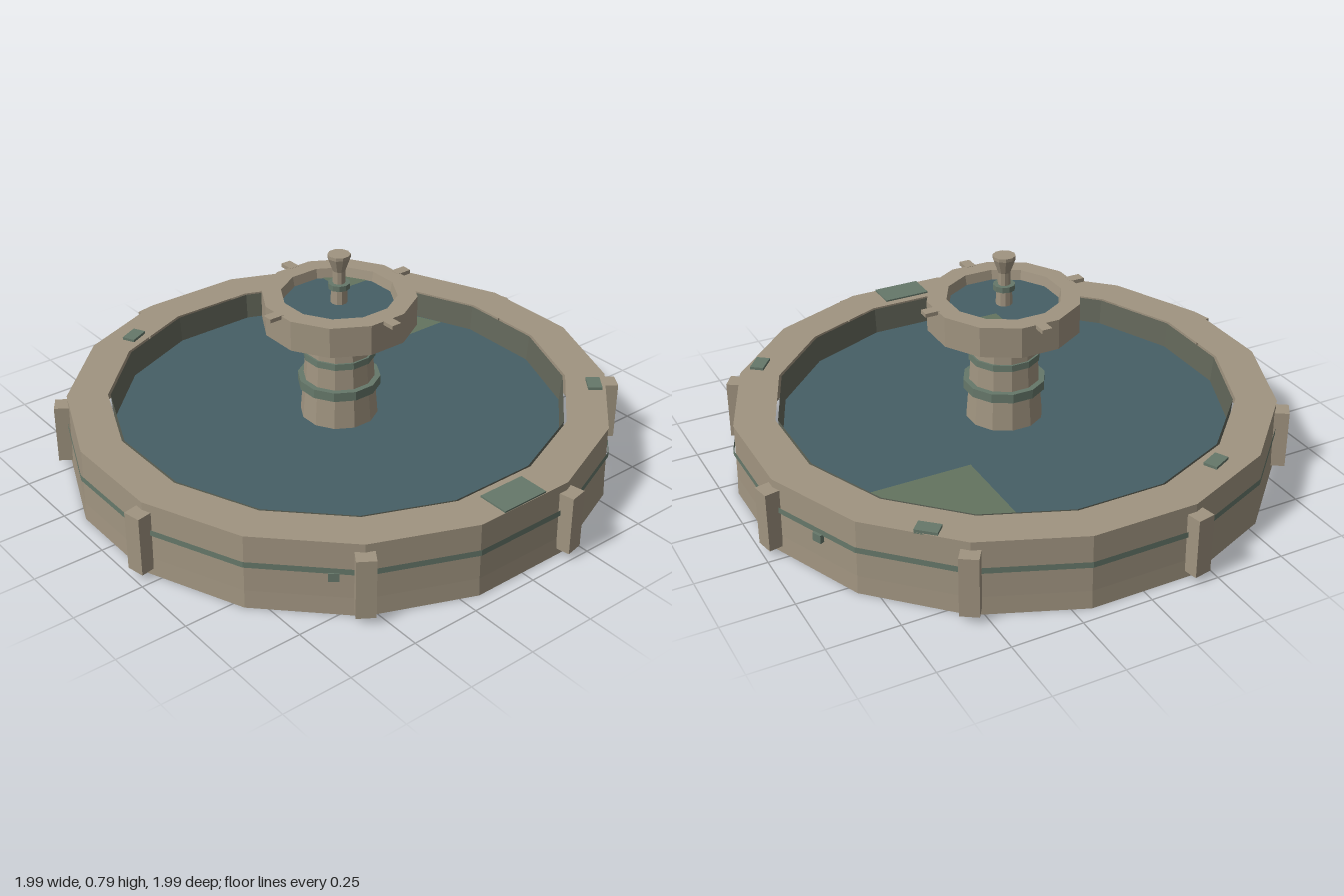
import * as THREE from 'three';

const SIDES = 16, OFFSET = Math.PI / 16;

function mat(name, color) {
  const m = new THREE.MeshStandardMaterial({ color, flatShading: true, side: THREE.DoubleSide });
  m.name = name;
  return m;
}

export function createModel() {
  const stone = mat('sandstone', 0xa09480);
  const moss = mat('moss', 0x66786a);
  const water = mat('water', 0x465f66);
  const algae = mat('algae', 0x63745f);
  const liner = mat('dampStone', 0x63675a);
  const under = mat('darkFloor', 0x465048);

  const group = new THREE.Group();
  group.name = 'fountain';
  const add = (name, geo, material, x = 0, y = 0, z = 0, ry = 0) => {
    const mesh = new THREE.Mesh(geo, material);
    mesh.name = name;
    mesh.position.set(x, y, z);
    mesh.rotation.y = ry;
    group.add(mesh);
    return mesh;
  };
  // polygonal tube or drum between two heights
  const drum = (name, rTop, rBottom, y0, y1, material, sides, offset, open = false) =>
    add(name, new THREE.CylinderGeometry(rTop, rBottom, y1 - y0, sides, 1, open, offset), material, 0, (y0 + y1) / 2);
  // flat ring or disc facing up
  const flat = (name, geo, y, material) => add(name, geo.rotateX(-Math.PI / 2), material, 0, y);
  // turned part, from [radius, height] pairs
  const turned = (name, pts, material, sides = 12) =>
    add(name, new THREE.LatheGeometry(pts.map(p => new THREE.Vector2(...p)), sides, Math.PI / sides), material);
  const outline = pts => new THREE.ShapeGeometry(new THREE.Shape(pts.map(p => new THREE.Vector2(...p))));

  // Basin shell, open underneath
  drum('basinWall', 0.963, 0.966, 0.065, 0.27, stone, SIDES, OFFSET, true);
  drum('basinFootCourse', 0.966, 0.969, 0, 0.065, stone, SIDES, OFFSET, true);
  flat('basinRim', new THREE.RingGeometry(0.82, 0.965, SIDES, 1, OFFSET), 0.27, stone);
  drum('basinLiner', 0.811, 0.795, 0.065, 0.268, liner, SIDES, OFFSET, true);
  flat('basinFloor', new THREE.CircleGeometry(0.805, SIDES, OFFSET), 0.065, under);
  drum('mossBand', 0.972, 0.972, 0.157, 0.178, moss, SIDES, OFFSET, true);

  // Pool water with an algae patch in one quarter
  flat('poolWater', new THREE.CircleGeometry(0.803, SIDES, OFFSET), 0.17, water);
  flat('poolAlgae', outline([[0.27, 0.27], [0.735, 0.27], [0.66, 0.44], [0.44, 0.66], [0.27, 0.735]]), 0.173, algae);

  // Piers around the wall
  for (let i = 0; i < 8; i++) {
    const a = OFFSET + i * Math.PI / 4;
    add('pier', new THREE.BoxGeometry(0.065, 0.215, 0.06), stone,
      Math.sin(a) * 0.98, 0.132, Math.cos(a) * 0.98, a);
  }

  // Moss patches on the rim
  add('frontMossPatch', new THREE.BoxGeometry(0.18, 0.006, 0.112), moss, 0, 0.273, 0.889);
  for (const [x, z] of [[-0.38, -0.77], [0.62, -0.68], [0.715, 0.565]]) {
    add('rimMossPatch', new THREE.BoxGeometry(0.078, 0.014, 0.05), moss, x, 0.273, z, Math.atan2(x, z));
  }
  // Small moss drips below the band
  for (const [x, z] of [[-0.605, 0.735], [0.87, -0.39]]) {
    add('mossDrip', new THREE.BoxGeometry(0.035, 0.03, 0.02), moss, x, 0.145, z, Math.atan2(x, z));
  }

  // Pedestal
  turned('pedestal', [[0, 0.06], [0.18, 0.06], [0.175, 0.1], [0.14, 0.16], [0.13, 0.285],
    [0.127, 0.32], [0.116, 0.48], [0.148, 0.53]], stone);
  drum('pedestalLowerMossRing', 0.148, 0.148, 0.286, 0.32, moss, 12, Math.PI / 12);
  drum('pedestalUpperMossRing', 0.127, 0.129, 0.4, 0.423, moss, 12, Math.PI / 12);

  // Upper bowl
  turned('upperBowl', [[0, 0.53], [0.272, 0.53], [0.272, 0.64], [0.203, 0.64], [0.19, 0.575]], stone);
  flat('bowlWater', new THREE.CircleGeometry(0.197, 12, Math.PI / 12), 0.605, water);
  flat('bowlAlgae', outline([[0.065, 0.065], [0.178, 0.065], [0.136, 0.136], [0.065, 0.178]]), 0.608, algae);
  for (let i = 0; i < 4; i++) {
    const a = i * Math.PI / 2;
    add('spout', new THREE.BoxGeometry(0.038, 0.014, 0.055), stone,
      Math.sin(a) * 0.281, 0.634, Math.cos(a) * 0.281, a);
  }

  // Finial
  turned('finial', [[0.03, 0.59], [0.028, 0.66], [0.022, 0.68], [0.022, 0.725], [0.04, 0.775],
    [0.04, 0.787], [0, 0.787]], stone, 10);
  drum('finialMossRing', 0.039, 0.039, 0.66, 0.68, moss, 10, 0);

  return group;
}
